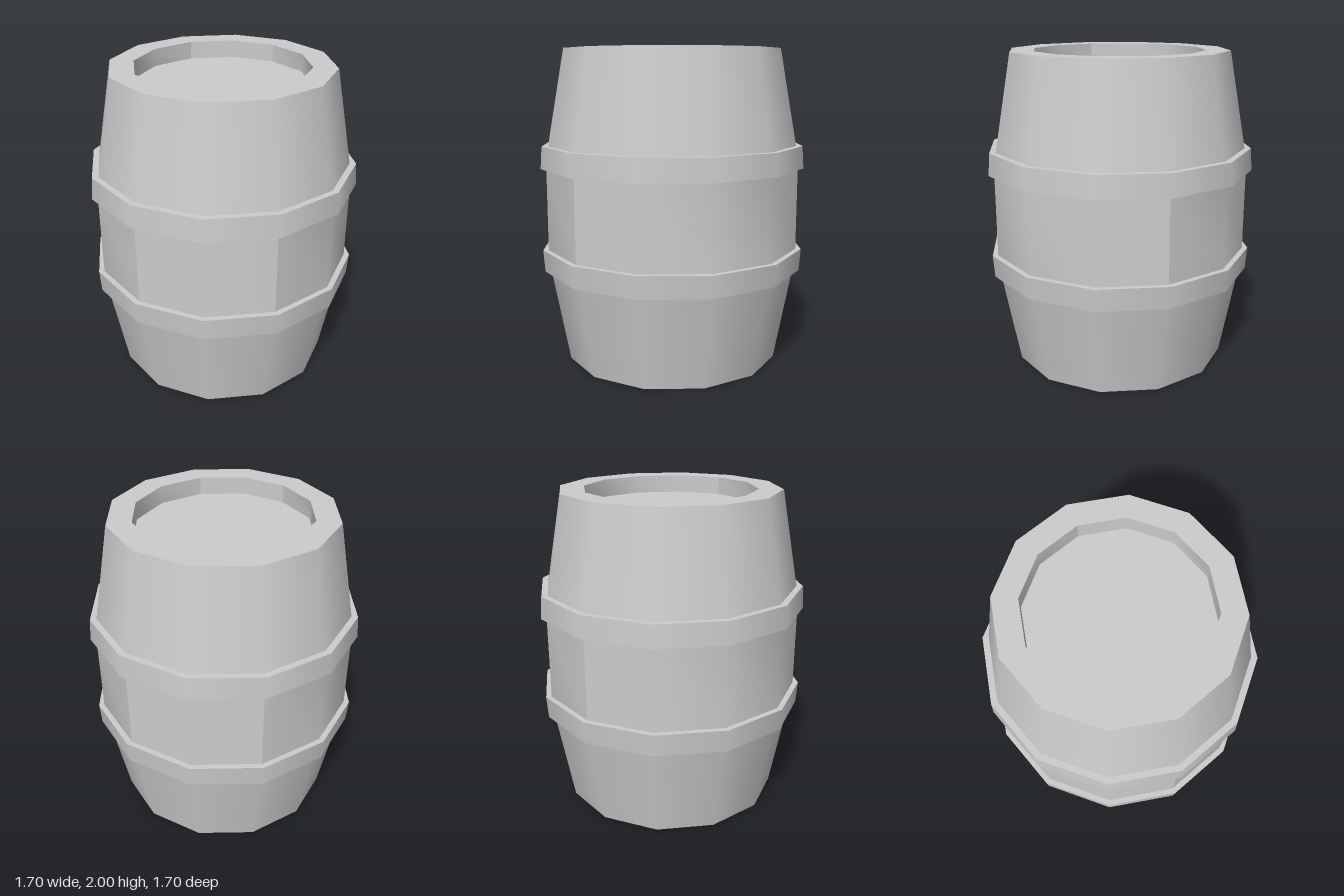
import * as THREE from 'three';
import { mergeGeometries } from 'three/addons/utils/BufferGeometryUtils.js';

const SIDES = 12;
const STEP = (Math.PI * 2) / SIDES;
const material = new THREE.MeshStandardMaterial({ color: 0xcccccc });

// One straight stretch of the turned profile, smooth around its ring.
// Upward stretches face outward, downward ones inward.
function band([r0, y0], [r1, y1]) {
  return new THREE.LatheGeometry([new THREE.Vector2(r0, y0), new THREE.Vector2(r1, y1)], SIDES);
}

// Same stretch split into four panels with creases at 30 degrees off the z axis.
function panelledBand([r0, y0], [r1, y1]) {
  const panels = [[-1, 2], [1, 4], [5, 2], [7, 4]].map(([start, count]) => {
    const g = new THREE.LatheGeometry(
      [new THREE.Vector2(r0, y0), new THREE.Vector2(r1, y1)], count, start * STEP, count * STEP);
    g.computeVertexNormals();
    return g;
  });
  return mergeGeometries(panels);
}

// Consecutive profile points become bands with hard edges between them.
function turned(name, points, panelled = []) {
  const parts = [];
  for (let i = 0; i < points.length - 1; i++) {
    parts.push((panelled.includes(i) ? panelledBand : band)(points[i], points[i + 1]));
  }
  const mesh = new THREE.Mesh(mergeGeometries(parts), material);
  mesh.name = name;
  return mesh;
}

export function createModel() {
  const barrel = new THREE.Group();
  barrel.name = 'barrel';

  const endR = 0.69, rimR = 0.54, recess = 0.11;
  const shoulderR = 0.8, bellyR = 0.815;
  const hoopOuter = 0.85, hoopEdge = 0.84;
  const hoopLow = 0.6, hoopHigh = 0.74;

  // Recessed heads with their rims
  barrel.add(turned('bottomHead', [[0, recess], [rimR, recess], [rimR, 0], [endR, 0]], [1]));
  barrel.add(turned('topHead', [[endR, 2], [rimR, 2], [rimR, 2 - recess], [0, 2 - recess]], [1]));

  // Tapered staves and straight belly
  barrel.add(turned('lowerStaves', [[endR, 0], [shoulderR, hoopLow]]));
  barrel.add(turned('belly', [[bellyR, hoopHigh], [bellyR, 2 - hoopHigh]], [0]));
  barrel.add(turned('upperStaves', [[shoulderR, 2 - hoopLow], [endR, 2]]));

  // Hoops, widest toward the belly
  barrel.add(turned('lowerHoop', [
    [shoulderR, hoopLow], [hoopEdge, hoopLow], [hoopOuter, hoopHigh], [bellyR, hoopHigh]]));
  barrel.add(turned('upperHoop', [
    [bellyR, 2 - hoopHigh], [hoopOuter, 2 - hoopHigh], [hoopEdge, 2 - hoopLow], [shoulderR, 2 - hoopLow]]));

  return barrel;
}
